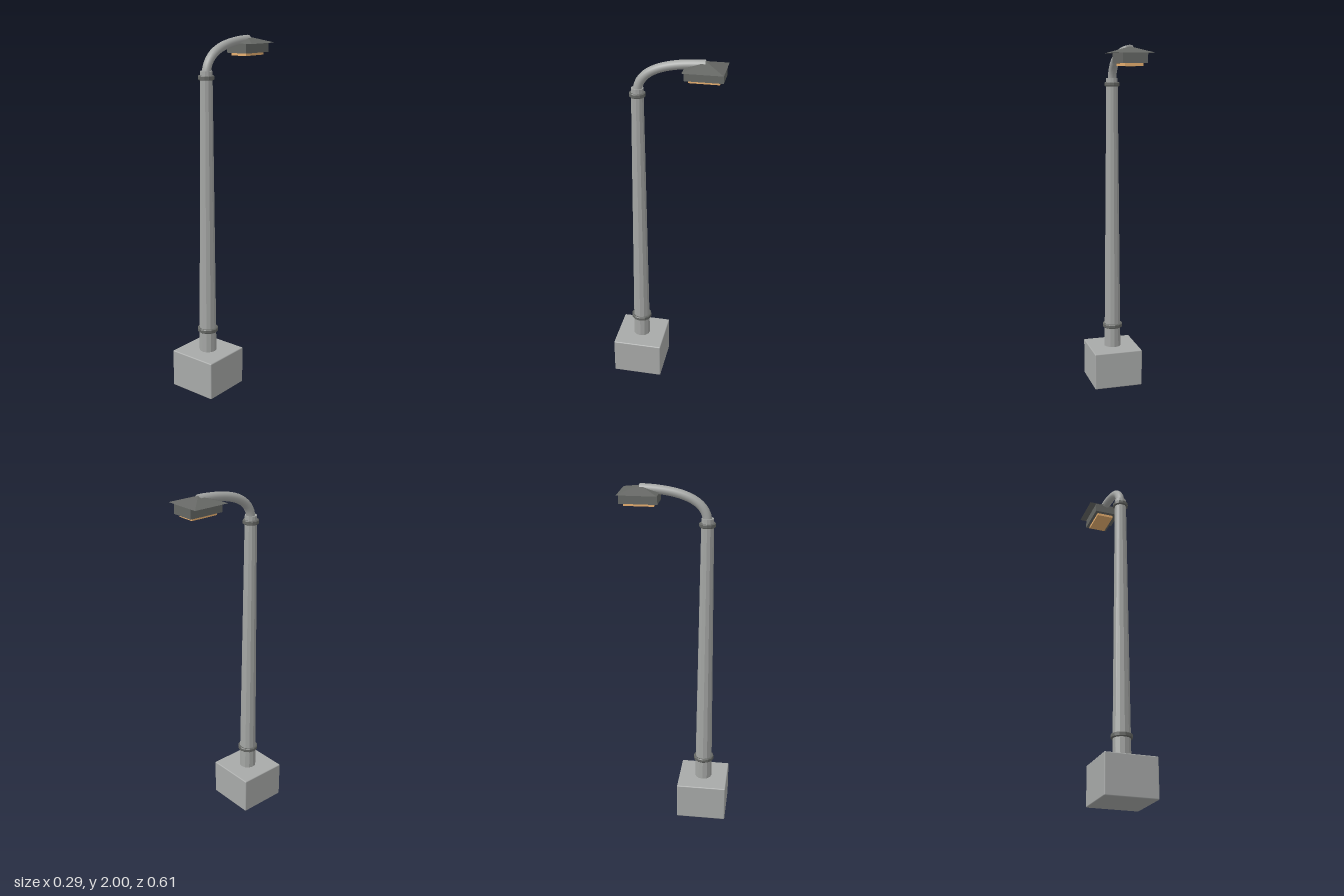
import * as THREE from 'three';
import { RoundedBoxGeometry } from 'three/addons/geometries/RoundedBoxGeometry.js';

const POLE_Z = 0.16;
const HEAD_Z = -0.2;

export function createModel() {
  const group = new THREE.Group();
  const material = (name, color) => {
    const m = new THREE.MeshStandardMaterial({ color });
    m.name = name;
    return m;
  };
  const concrete = material('concrete', 0xa8aaa9);
  const steel = material('paleSteel', 0xa4a6a4);
  const dark = material('darkMetal', 0x656764);
  const glow = material('warmLens', 0xe8b070);

  const add = (name, geometry, mat, x, y, z) => {
    const mesh = new THREE.Mesh(geometry, mat);
    mesh.name = name;
    mesh.position.set(x, y, z);
    group.add(mesh);
    return mesh;
  };
  // Gives a geometry hard facets
  const faceted = (geometry) => {
    const g = geometry.toNonIndexed();
    g.computeVertexNormals();
    return g;
  };

  // Footing block with slightly softened edges
  add('footing', new RoundedBoxGeometry(0.29, 0.22, 0.29, 2, 0.006), concrete, 0, 0.11, POLE_Z);

  // Tapered twelve-sided pole
  add('pole', faceted(new THREE.CylinderGeometry(0.034, 0.05, 1.61, 12)), steel, 0, 1.02, POLE_Z);

  // Collars with small chamfers
  const collar = (name, radius, y) => {
    const h = 0.012, c = 0.004;
    const profile = [[0, -h], [radius - c, -h], [radius, -h + c], [radius, h - c], [radius - c, h], [0, h]]
      .map(([r, v]) => new THREE.Vector2(r, v));
    add(name, faceted(new THREE.LatheGeometry(profile, 12)), dark, 0, y, POLE_Z);
  };
  collar('lowerCollar', 0.06, 0.35);
  collar('upperCollar', 0.045, 1.79);

  // Curved arm reaching back to the lamp head
  const bend = new THREE.QuadraticBezierCurve3(
    new THREE.Vector3(0, 1.8, POLE_Z),
    new THREE.Vector3(0, 1.97, POLE_Z),
    new THREE.Vector3(0, 1.975, HEAD_Z)
  );
  add('arm', new THREE.TubeGeometry(bend, 20, 0.025, 12), steel, 0, 0, 0);
  const end = add('armEnd', new THREE.CircleGeometry(0.025, 12), steel, 0, 1.975, HEAD_Z);
  end.rotation.y = Math.PI;

  // Lamp head: pyramid roof, housing and lens
  const roof = new THREE.ConeGeometry(0.107 * Math.SQRT2, 0.034, 4);
  roof.rotateY(Math.PI / 4);
  add('lampRoof', faceted(roof), dark, 0, 1.974, HEAD_Z);
  add('lampHousing', new THREE.BoxGeometry(0.135, 0.054, 0.206), dark, 0, 1.931, HEAD_Z);
  add('lampLens', new THREE.BoxGeometry(0.1, 0.016, 0.164), glow, 0, 1.897, HEAD_Z);

  return group;
}
